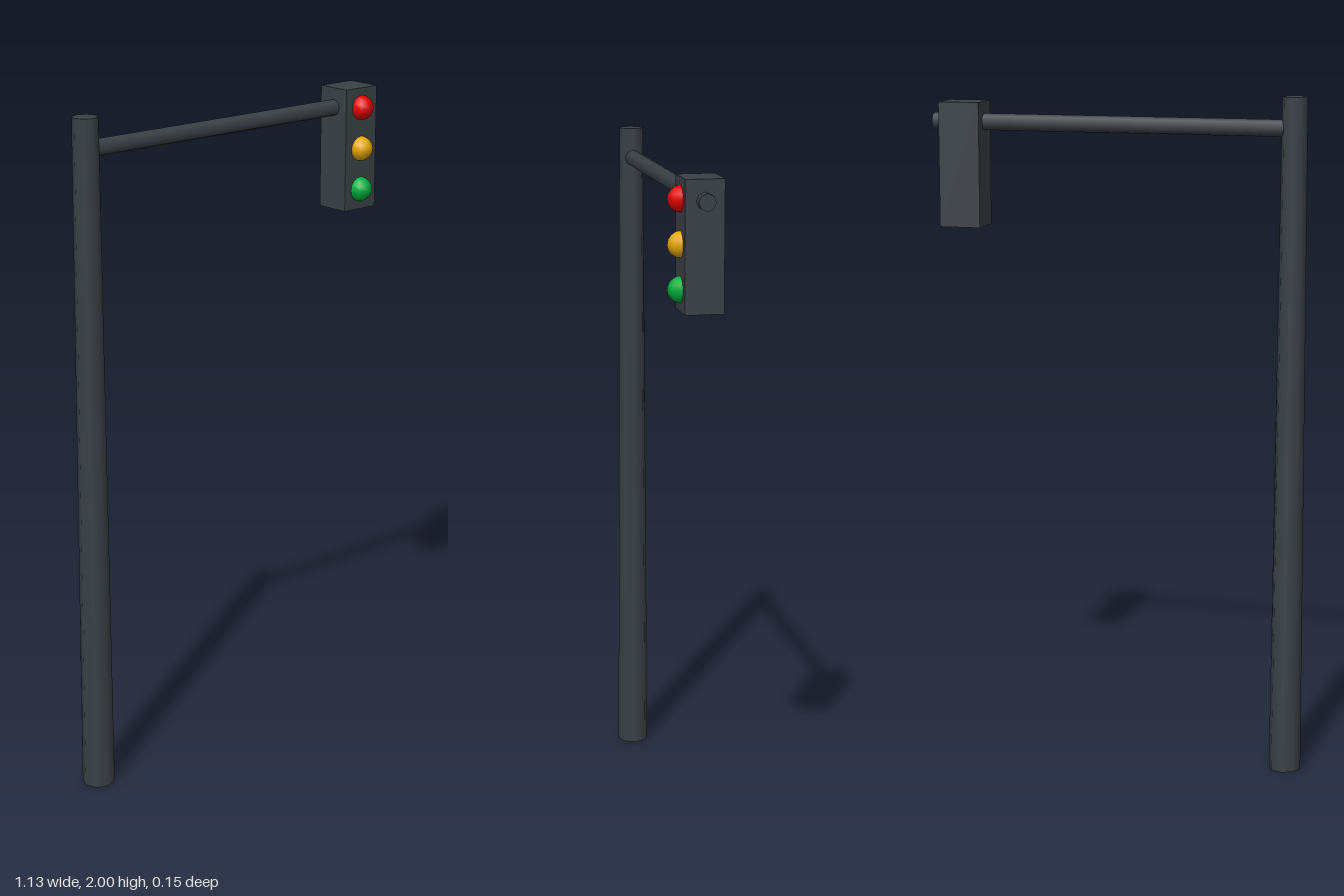
import * as THREE from 'three';

const AXIS_Z = -0.018; // shared depth of pole, arm and housing
const LAMP_X = 0.47;
const ARM_Y = 1.91;

export function createModel() {
  const group = new THREE.Group();
  const metal = new THREE.MeshStandardMaterial({ color: 0x3a4045 });

  const add = (name, geometry, material, x, y, z) => {
    const mesh = new THREE.Mesh(geometry, material);
    mesh.name = name;
    mesh.position.set(x, y, z);
    group.add(mesh);
    return mesh;
  };

  // Tapered eight-sided pole
  add('pole', new THREE.CylinderGeometry(0.037, 0.048, 2, 8), metal, -0.516, 1, AXIS_Z);

  // Arm from the pole through the housing
  const armStart = -0.516, armEnd = 0.563;
  const arm = add('arm', new THREE.CylinderGeometry(0.0245, 0.0245, armEnd - armStart, 8), metal,
    (armStart + armEnd) / 2, ARM_Y, AXIS_Z);
  arm.rotation.z = Math.PI / 2;

  // Signal housing
  add('housing', new THREE.BoxGeometry(0.123, 0.366, 0.109), metal, LAMP_X, 1.786, AXIS_Z);

  // Lamps, half sunk into the housing front
  const lampGeometry = new THREE.SphereGeometry(0.037, 8, 8);
  [['redLamp', 0xe60000], ['amberLamp', 0xe6a800], ['greenLamp', 0x00b040]].forEach(([name, color], i) => {
    add(name, lampGeometry, new THREE.MeshStandardMaterial({ color }), LAMP_X, ARM_Y - i * 0.123, 0.036);
  });

  return group;
}
